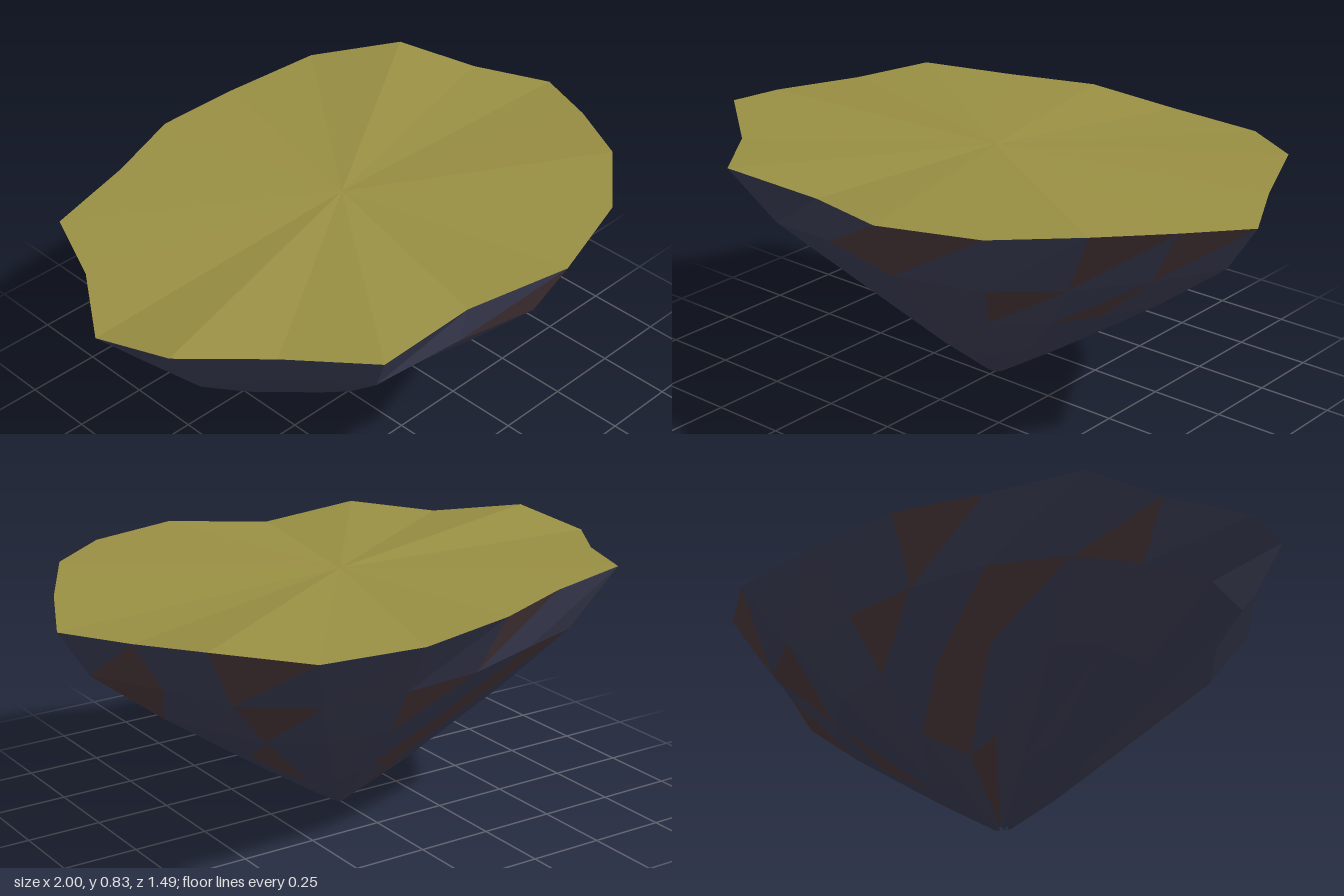
import * as THREE from 'three';

const mat = (name, color) => {
  const m = new THREE.MeshStandardMaterial({ color, flatShading: true });
  m.name = name;
  return m;
};

// Flat-shaded mesh from a list of triangle corners
function facets(name, corners, material) {
  const geo = new THREE.BufferGeometry().setFromPoints(corners);
  geo.computeVertexNormals();
  const mesh = new THREE.Mesh(geo, material);
  mesh.name = name;
  return mesh;
}

// Irregular rim, from +x round towards +z: x, height, z
const RIM = [
  [1, 0.78, -0.03], [0.89, 0.81, 0.21], [0.75, 0.835, 0.45], [0.52, 0.825, 0.64],
  [0.19, 0.815, 0.74], [-0.14, 0.785, 0.64], [-0.51, 0.8, 0.66], [-0.7, 0.79, 0.42],
  [-0.94, 0.82, 0.23], [-1, 0.78, -0.03], [-0.84, 0.8, -0.27], [-0.74, 0.815, -0.52],
  [-0.42, 0.815, -0.61], [-0.14, 0.81, -0.72], [0.18, 0.785, -0.75], [0.53, 0.79, -0.72],
  [0.78, 0.82, -0.53], [0.88, 0.79, -0.27],
];

// Rings below the rim: share of the rim radius (percent) per spoke, height, and height gained with radius
const RINGS = [
  { y: 0.61, mid: 85, rise: 0.003, r: [90, 87, 80, 86, 87, 94, 83, 84, 85, 84, 88, 83, 88, 83, 80, 82, 84, 87] },
  { y: 0.42, mid: 62, rise: 0.004, r: [65, 62, 64, 60, 62, 67, 55, 62, 60, 58, 64, 59, 66, 60, 63, 61, 60, 68] },
  { y: 0.2, mid: 32, rise: 0.006, r: [27, 34, 38, 28, 30, 32, 20, 32, 24, 23, 34, 24, 36, 30, 42, 28, 26, 47] },
  { y: 0.01, mid: 2, rise: 0.005, r: [3, 2, 2, 3, 1, 2, 3, 2, 1, 2, 3, 1, 2, 3, 2, 1, 3, 2] },
];

// Brown facets in each band: a = upper triangle, b = lower triangle of a spoke gap
const BROWN = [
  ['b4', 'a3', 'a1', 'a0', 'b17', 'a15', 'b10', 'a12'],
  ['a17', 'b1', 'a2', 'a15', 'a11', 'b12', 'a13'],
  ['b16', 'a12', 'b13'],
  ['a4', 'b2', 'a12'],
];

export function createModel() {
  const group = new THREE.Group();
  group.name = 'floatingIsland';
  const grass = mat('olive grass', 0x9a9044);
  const slate = mat('dark slate rock', 0x43455e);
  const earth = mat('brown rock', 0x543f42);

  const n = RIM.length;
  const centre = new THREE.Vector3(0, 0.81, -0.03);
  const rim = RIM.map((p) => new THREE.Vector3(...p));
  const rings = [rim];
  for (const { y, mid, rise, r } of RINGS) {
    rings.push(rim.map((p, i) => {
      const f = r[i] / 100;
      return new THREE.Vector3(p.x * f, y + (r[i] - mid) * rise, centre.z + (p.z - centre.z) * f);
    }));
  }

  // Gently uneven top
  const top = [];
  for (let i = 0; i < n; i++) top.push(centre, rim[(i + 1) % n], rim[i]);
  group.add(facets('grassTop', top, grass));

  // Faceted rock underside, sorted into its two colours
  const slateFaces = [];
  const earthFaces = [];
  for (let k = 0; k < RINGS.length; k++) {
    const up = rings[k];
    const low = rings[k + 1];
    for (let i = 0; i < n; i++) {
      const j = (i + 1) % n;
      const pick = (id) => (BROWN[k].includes(id + i) ? earthFaces : slateFaces);
      pick('a').push(up[j], low[j], up[i]);
      pick('b').push(low[j], low[i], up[i]);
    }
  }
  group.add(facets('slateRock', slateFaces, slate));
  group.add(facets('brownRock', earthFaces, earth));
  return group;
}
